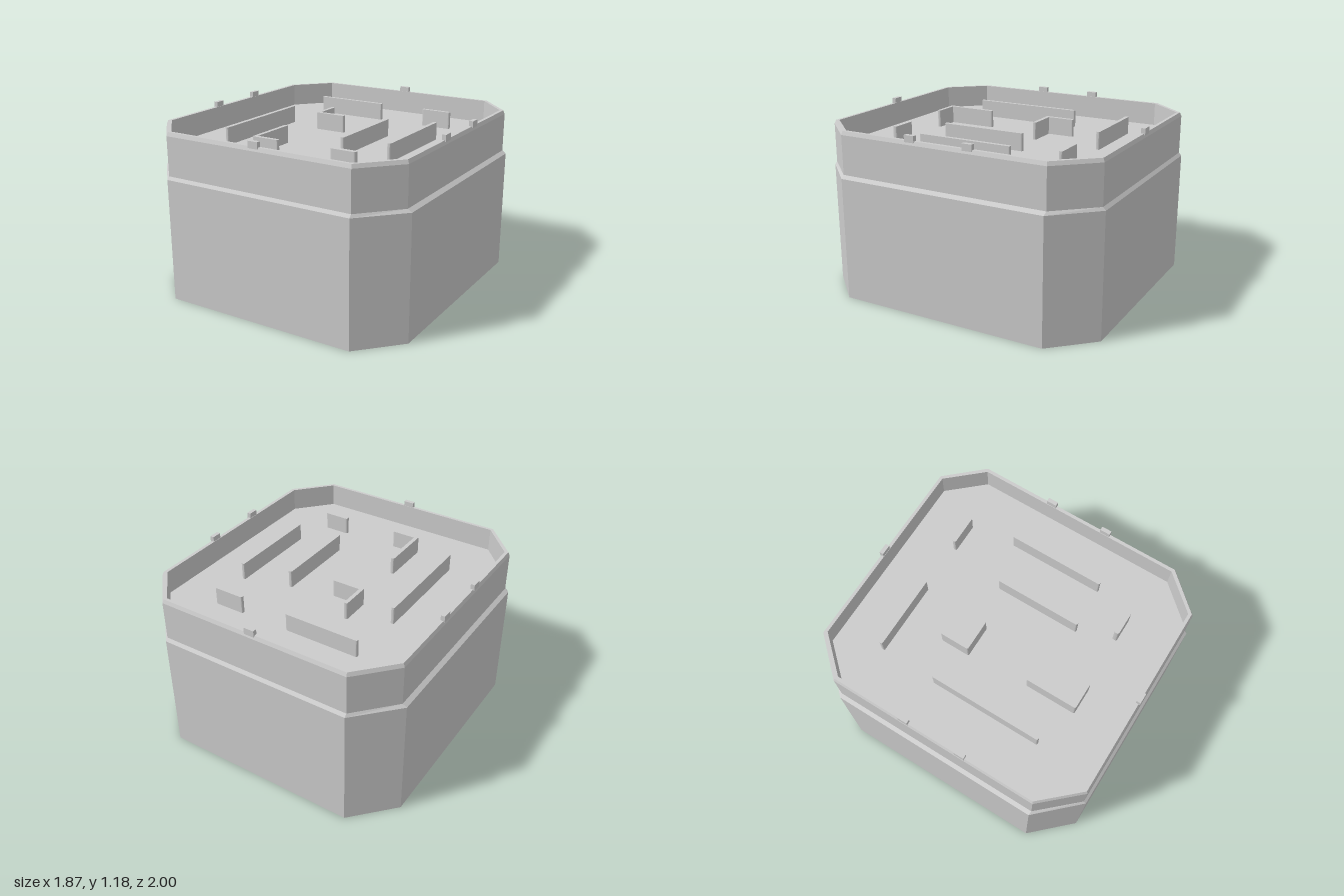
import * as THREE from 'three';

const FLOOR = 0.985, UNDER = 0.98, RIM = 1.145;
const material = new THREE.MeshStandardMaterial({ color: 0xcccccc, flatShading: true, side: THREE.DoubleSide });

function add(group, geometry, name) {
  const mesh = new THREE.Mesh(geometry, material);
  mesh.name = name;
  group.add(mesh);
}

// Eight corners of a rectangle with cut corners, running round the y axis
function octagon([x, z, cx, cz, y]) {
  return [
    [cx, z], [x, cz], [x, -cz], [cx, -z],
    [-cx, -z], [-x, -cz], [-x, cz], [-cx, z],
  ].map(([px, pz]) => new THREE.Vector3(px, y, pz));
}

// Flat-faced skin between successive octagons
function skin(rings) {
  const points = [];
  const loops = rings.map(octagon);
  for (let r = 0; r < loops.length - 1; r++) {
    const low = loops[r], high = loops[r + 1];
    for (let i = 0; i < 8; i++) {
      const j = (i + 1) % 8;
      points.push(low[i], low[j], high[j], low[i], high[j], high[i]);
    }
  }
  const geometry = new THREE.BufferGeometry().setFromPoints(points);
  geometry.computeVertexNormals();
  return geometry;
}

// Upright bar with rounded ends, given its footprint
function bar(x0, x1, z0, z1, y0, y1) {
  const r = Math.min(x1 - x0, z1 - z0) * 0.4;
  const s = new THREE.Shape();
  const a = -z1, b = -z0;
  s.moveTo(x0 + r, a);
  s.lineTo(x1 - r, a);
  s.quadraticCurveTo(x1, a, x1, a + r);
  s.lineTo(x1, b - r);
  s.quadraticCurveTo(x1, b, x1 - r, b);
  s.lineTo(x0 + r, b);
  s.quadraticCurveTo(x0, b, x0, b - r);
  s.lineTo(x0, a + r);
  s.quadraticCurveTo(x0, a, x0 + r, a);
  const g = new THREE.ExtrudeGeometry(s, { depth: y1 - y0, bevelEnabled: false, curveSegments: 3 });
  return g.rotateX(-Math.PI / 2).translate(0, y0, 0);
}

export function createModel() {
  const model = new THREE.Group();
  model.name = 'octagonalTray';

  // Skirt, sloped ledge, upper band, rim, inner wall and tray floor
  add(model, skin([
    [0.935, 1, 0.68, 0.73, 0],
    [0.935, 1, 0.68, 0.73, 0.835],
    [0.908, 0.982, 0.68, 0.733, 0.855],
    [0.908, 0.982, 0.68, 0.733, 1.12],
    [0.898, 0.972, 0.675, 0.728, RIM],
    [0.875, 0.951, 0.665, 0.717, RIM],
    [0.875, 0.951, 0.665, 0.717, FLOOR],
    [0, 0, 0, 0, FLOOR],
  ]), 'shell');

  // Underside: inner ledge, recess wall and underside of the floor
  add(model, skin([
    [0.935, 1, 0.68, 0.73, 0.835],
    [0.872, 0.948, 0.663, 0.715, 0.835],
    [0.872, 0.948, 0.663, 0.715, UNDER],
    [0, 0, 0, 0, UNDER],
  ]), 'underside');

  // Low partitions standing on the floor: x0, x1, z0, z1
  const partitions = new THREE.Group();
  partitions.name = 'partitions';
  [
    [-0.54, -0.02, -0.648, -0.622],
    [0.32, 0.535, -0.648, -0.622],
    [-0.28, -0.254, -0.345, -0.135],
    [-0.28, -0.055, -0.161, -0.135],
    [-0.555, -0.53, -0.23, 0.555],
    [0.233, 0.26, -0.225, 0.375],
    [0.56, 0.585, -0.315, 0.355],
    [-0.255, -0.228, 0.29, 0.65],
    [-0.255, -0.06, 0.624, 0.65],
    [0.32, 0.5, 0.602, 0.635],
  ].forEach((p) => add(partitions, bar(...p, UNDER - 0.001, 1.105), 'partition'));
  model.add(partitions);

  // Small tabs on the rim: one front and back, two on each side
  const tabs = new THREE.Group();
  tabs.name = 'rimTabs';
  for (const side of [-1, 1]) {
    add(tabs, new THREE.BoxGeometry(0.072, 0.045, 0.028).translate(0, 1.1575, side * 0.967), 'rimTab');
    for (const end of [-1, 1]) {
      add(tabs, new THREE.BoxGeometry(0.028, 0.045, 0.07).translate(side * 0.892, 1.1575, end * 0.207), 'rimTab');
    }
  }
  model.add(tabs);

  return model;
}
